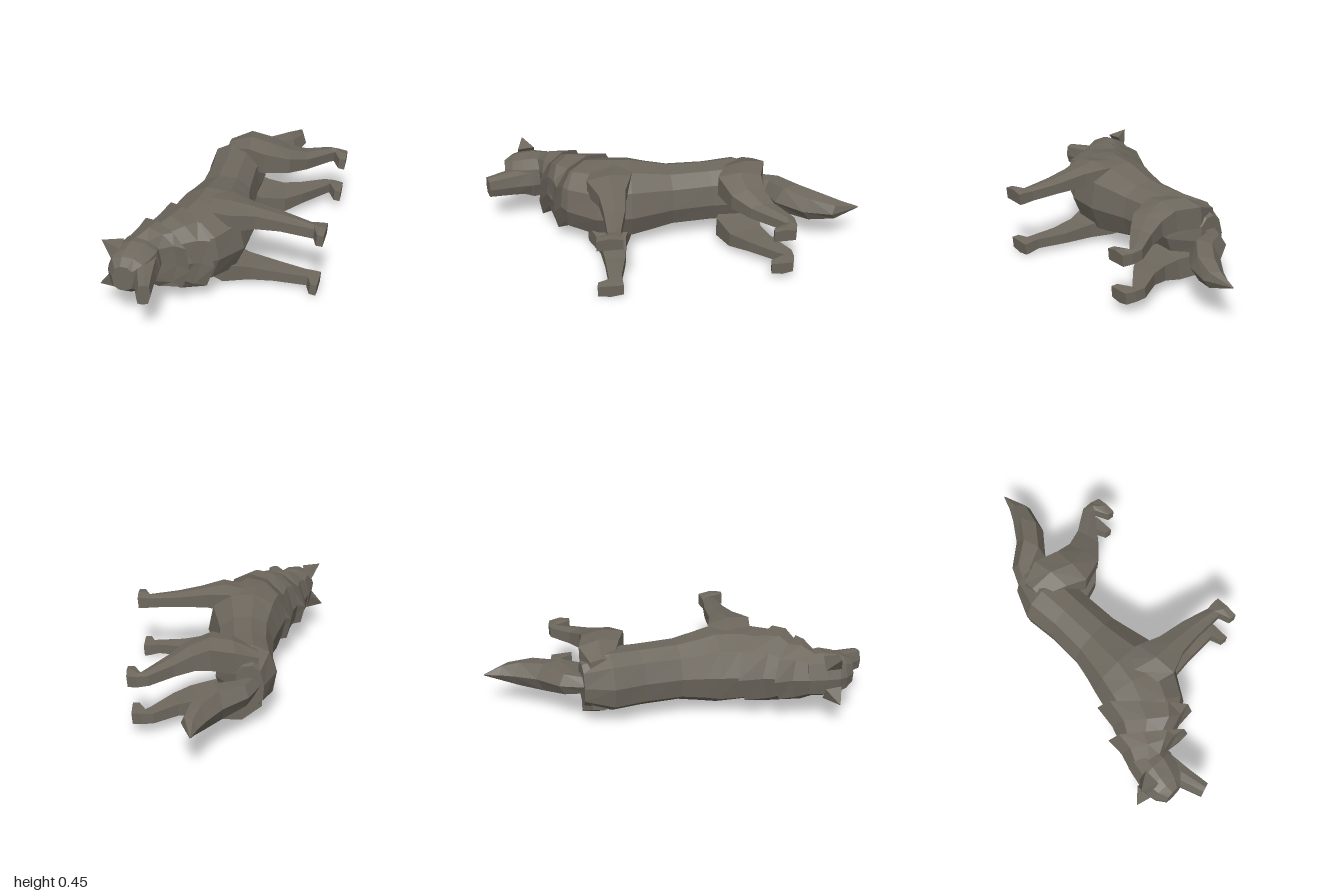
import * as THREE from 'three';
import { ConvexGeometry } from 'three/addons/geometries/ConvexGeometry.js';

const fur = new THREE.MeshStandardMaterial({ color: 0x6e685e, flatShading: true });
fur.name = 'greyBrownFur';

// The animal lies on its side: its back points to -x, its nose to +z, its width runs along y.

// Skin a closed, capped surface over cross-sections of equal point count
function loft(rings) {
  const pos = [];
  const tri = (a, b, c) => pos.push(...a, ...b, ...c);
  const n = rings[0].length;
  for (let r = 0; r < rings.length - 1; r++) {
    for (let i = 0; i < n; i++) {
      const j = (i + 1) % n, A = rings[r], B = rings[r + 1];
      tri(A[i], A[j], B[j]);
      tri(A[i], B[j], B[i]);
    }
  }
  const first = rings[0], last = rings[rings.length - 1];
  for (let i = 1; i < n - 1; i++) {
    tri(first[0], first[i + 1], first[i]);
    tri(last[0], last[i], last[i + 1]);
  }
  // turn the faces outward when the enclosed volume is negative
  let volume = 0;
  const v = (k) => new THREE.Vector3().fromArray(pos, k);
  for (let k = 0; k < pos.length; k += 9) volume += v(k).dot(v(k + 3).cross(v(k + 6)));
  if (volume < 0) {
    for (let k = 0; k < pos.length; k += 9) {
      for (let m = 3; m < 6; m++) [pos[k + m], pos[k + m + 3]] = [pos[k + m + 3], pos[k + m]];
    }
  }
  const g = new THREE.BufferGeometry();
  g.setAttribute('position', new THREE.Float32BufferAttribute(pos, 3));
  g.computeVertexNormals();
  return g;
}

// Rounded section between an upper (x, z) and a lower (x, z) point; bow pushes the flanks forward
function section([x0, z0, x1, z1, halfWidth, bow = 0], sides, square) {
  return Array.from({ length: sides }, (_, i) => {
    const a = (i / sides) * Math.PI * 2, s = Math.sin(a), t = (1 - Math.cos(a)) / 2;
    const w = Math.abs(s) < 1e-6 ? 0 : Math.sign(s) * Math.abs(s) ** square;
    return [x0 + (x1 - x0) * t, halfWidth * w, z0 + (z1 - z0) * t + bow * s * s];
  });
}

// Leg section between its rear and front edge, ridged on the outside
function legSection([x0, z0, x1, z1, inner, outer], side) {
  const edge = outer - (outer - inner) * 0.15;
  return [
    [x0, inner, z0], [x0, edge, z0], [(x0 + x1) / 2, outer, (z0 + z1) / 2],
    [x1, edge, z1], [x1, inner, z1],
  ].map(([x, y, z]) => [x, y * side, z]);
}

export function createModel() {
  const model = new THREE.Group();
  model.name = 'lyingAnimal';
  const pose = new THREE.Group();
  pose.name = 'body';
  model.add(pose);
  const add = (name, geometry) => {
    const mesh = new THREE.Mesh(geometry, fur);
    mesh.name = name;
    pose.add(mesh);
  };
  const body = (name, rows, sides = 10, square = 0.75) =>
    add(name, loft(rows.map((r) => section(r, sides, square))));

  // Torso from rump to neck
  body('torso', [
    [-0.15, -0.52, 0.0, -0.52, 0.12],
    [-0.22, -0.37, 0.1, -0.37, 0.17],
    [-0.205, -0.2, 0.09, -0.22, 0.165],
    [-0.215, 0.0, 0.1, 0.0, 0.165],
    [-0.245, 0.12, 0.12, 0.1, 0.185],
    [-0.27, 0.2, 0.145, 0.23, 0.205],
    [-0.295, 0.29, 0.13, 0.42, 0.2],
    [-0.31, 0.36, 0.03, 0.57, 0.18, 0.03],
    [-0.37, 0.5, -0.1, 0.65, 0.15],
    [-0.43, 0.6, -0.24, 0.69, 0.115],
  ]);

  // Two overlapping collars of neck fur with pointed rims
  body('shoulderMane', [
    [-0.325, 0.27, 0.02, 0.64, 0.2, 0.04],
    [-0.345, 0.4, -0.05, 0.63, 0.195, 0.06],
    [-0.385, 0.5, -0.15, 0.66, 0.15, 0.03],
  ]);
  body('neckMane', [
    [-0.415, 0.44, -0.09, 0.71, 0.168, 0.03],
    [-0.42, 0.54, -0.16, 0.68, 0.162, 0.04],
    [-0.455, 0.64, -0.24, 0.69, 0.122, 0.03],
  ]);

  // Head and muzzle
  body('head', [
    [-0.45, 0.62, -0.24, 0.68, 0.12],
    [-0.475, 0.72, -0.235, 0.73, 0.128],
    [-0.485, 0.79, -0.25, 0.78, 0.115],
    [-0.475, 0.83, -0.28, 0.84, 0.1],
    [-0.44, 0.88, -0.33, 0.88, 0.07],
  ], 10, 0.65);
  body('muzzle', [
    [-0.38, 0.78, -0.235, 0.74, 0.078],
    [-0.335, 0.87, -0.232, 0.84, 0.068],
    [-0.29, 0.99, -0.22, 0.97, 0.056],
  ], 8, 0.35);

  // Tail, swept back and down
  body('tail', [
    [-0.14, -0.5, -0.02, -0.49, 0.05],
    [-0.07, -0.64, 0.0, -0.525, 0.065],
    [0.06, -0.74, 0.11, -0.56, 0.088],
    [0.14, -0.85, 0.22, -0.69, 0.076],
    [0.18, -0.92, 0.265, -0.84, 0.048],
    [0.212, -0.998, 0.218, -0.998, 0.003],
  ], 6);

  // Legs and ears, one on each flank
  const frontLeg = [
    [-0.13, 0.17, -0.1, 0.42, 0.1, 0.19],
    [0.02, 0.22, 0.04, 0.46, 0.1, 0.22],
    [0.14, 0.265, 0.17, 0.41, 0.118, 0.208],
    [0.3, 0.29, 0.3, 0.4, 0.125, 0.192],
    [0.45, 0.33, 0.475, 0.4, 0.118, 0.182],
    [0.51, 0.33, 0.495, 0.46, 0.118, 0.192],
    [0.535, 0.33, 0.53, 0.465, 0.12, 0.192],
  ];
  const hindLeg = [
    [-0.13, -0.48, -0.13, -0.36, 0.06, 0.15],
    [-0.02, -0.515, 0.0, -0.29, 0.07, 0.21],
    [0.11, -0.47, 0.1, -0.24, 0.08, 0.218],
    [0.2, -0.465, 0.24, -0.285, 0.085, 0.185],
    [0.3, -0.5, 0.33, -0.37, 0.08, 0.155],
    [0.425, -0.58, 0.44, -0.5, 0.08, 0.145],
    [0.485, -0.58, 0.465, -0.53, 0.076, 0.145],
    [0.525, -0.568, 0.5, -0.455, 0.075, 0.147],
    [0.535, -0.565, 0.535, -0.45, 0.075, 0.147],
  ];
  for (const [label, side] of [['right', 1], ['left', -1]]) {
    add(label + 'FrontLeg', loft(frontLeg.map((r) => legSection(r, side))));
    add(label + 'HindLeg', loft(hindLeg.map((r) => legSection(r, side))));
    add(label + 'Ear', new ConvexGeometry([
      [-0.53, 0.13, 0.77], [-0.43, 0.122, 0.71], [-0.43, 0.115, 0.8],
      [-0.47, 0.05, 0.8], [-0.47, 0.055, 0.71],
    ].map(([x, y, z]) => new THREE.Vector3(x, y * side, z))));
  }

  // Slight roll of the resting pose, then settle on the ground
  pose.rotation.z = -0.085;
  model.updateMatrixWorld(true);
  const box = new THREE.Box3().setFromObject(model, true);
  const c = box.getCenter(new THREE.Vector3());
  pose.position.set(-c.x, -box.min.y, -c.z);
  return model;
}
